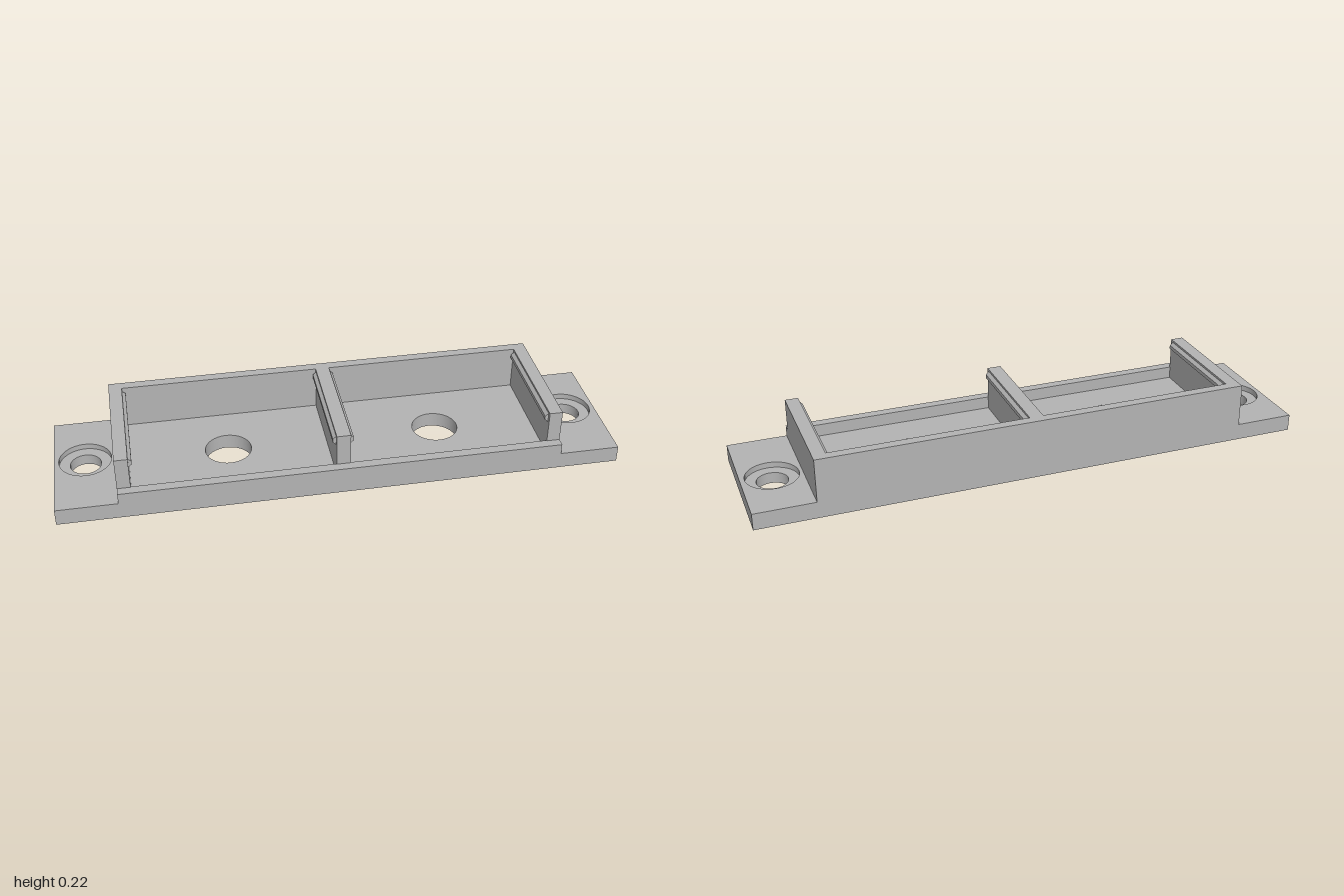
import * as THREE from 'three';

const grey = new THREE.MeshStandardMaterial({ color: 0xb3b3b3 });
grey.name = 'plain grey';

const END = 0.785, INNER = 0.738, MID = 0.025;   // wall positions along x
const BACK = -0.25, FRONT = 0.25, WALL_FRONT = 0.218;
const BORE_Y = 0.04, FLOOR_Y = 0.055, EAR_Y = 0.0605, LIP_Y = 0.1, TOP_Y = 0.218;
const TRAY_X = (INNER + MID) / 2, SCREW_X = 0.89, SCREW_Z = -0.02;

export function createModel() {
  const group = new THREE.Group();
  group.name = 'doubleTrayBracket';

  const add = (name, geometry) => {
    const mesh = new THREE.Mesh(geometry, grey);
    mesh.name = name;
    group.add(mesh);
    return mesh;
  };

  // Plan outline of [x, z] points with round holes [x, z, r], raised from y0 to y1
  const slab = (name, points, holes, y0, y1) => {
    const shape = new THREE.Shape(points.map(([x, z]) => new THREE.Vector2(x, -z)));
    for (const [x, z, r] of holes) {
      shape.holes.push(new THREE.Path().absarc(x, -z, r, 0, Math.PI * 2, true));
    }
    const geometry = new THREE.ExtrudeGeometry(shape, {
      depth: y1 - y0, bevelEnabled: false, curveSegments: 48,
    });
    geometry.rotateX(-Math.PI / 2).translate(0, y0, 0);
    return add(name, geometry);
  };
  const rect = (x0, x1, z0, z1) => [[x0, z1], [x1, z1], [x1, z0], [x0, z0]];

  // Base plate with two large holes and two screw holes
  const trayHoles = [-1, 1].map((s) => [s * TRAY_X, 0, 0.083]);
  const screwHoles = [-1, 1].map((s) => [s * SCREW_X, SCREW_Z, 0.055]);
  slab('basePlate', rect(-1, 1, BACK, FRONT), [...trayHoles, ...screwHoles], 0, BORE_Y);
  slab('trayFloor', rect(-END, END, BACK, FRONT), trayHoles, BORE_Y, FLOOR_Y);

  // Mounting ears with a counterbore around each screw hole
  for (const [name, s] of [['leftEar', 1], ['rightEar', -1]]) {
    const [x0, x1] = s > 0 ? [END, 1] : [-1, -END];
    slab(name, rect(x0, x1, BACK, FRONT), [[s * SCREW_X, SCREW_Z, 0.093]], BORE_Y, EAR_Y);
  }

  // Back wall, end walls and divider as one E-shaped piece
  const inBack = -0.215;
  slab('trayWalls', [
    [-END, BACK], [-END, WALL_FRONT], [-INNER, WALL_FRONT], [-INNER, inBack],
    [-MID, inBack], [-MID, WALL_FRONT], [MID, WALL_FRONT], [MID, inBack],
    [INNER, inBack], [INNER, WALL_FRONT], [END, WALL_FRONT], [END, BACK],
  ], [], FLOOR_Y, TOP_Y);

  // Low lip along the front
  slab('frontLip', rect(-END, END, 0.215, FRONT), [], FLOOR_Y, LIP_Y);

  // Small snap ridges near the top of each tray side
  const ridge = (name, x, dir) => {
    const profile = [[-0.002, 0.174], [0.012, 0.186], [0.012, 0.2], [-0.002, 0.212]];
    const shape = new THREE.Shape(profile.map(([d, y]) => new THREE.Vector2(x + d * dir, y)));
    const geometry = new THREE.ExtrudeGeometry(shape, { depth: 0.412, bevelEnabled: false });
    add(name, geometry.translate(0, 0, -0.207));
  };
  ridge('rightOuterRidge', -INNER, 1);
  ridge('rightInnerRidge', -MID, -1);
  ridge('leftInnerRidge', MID, 1);
  ridge('leftOuterRidge', INNER, -1);

  return group;
}
